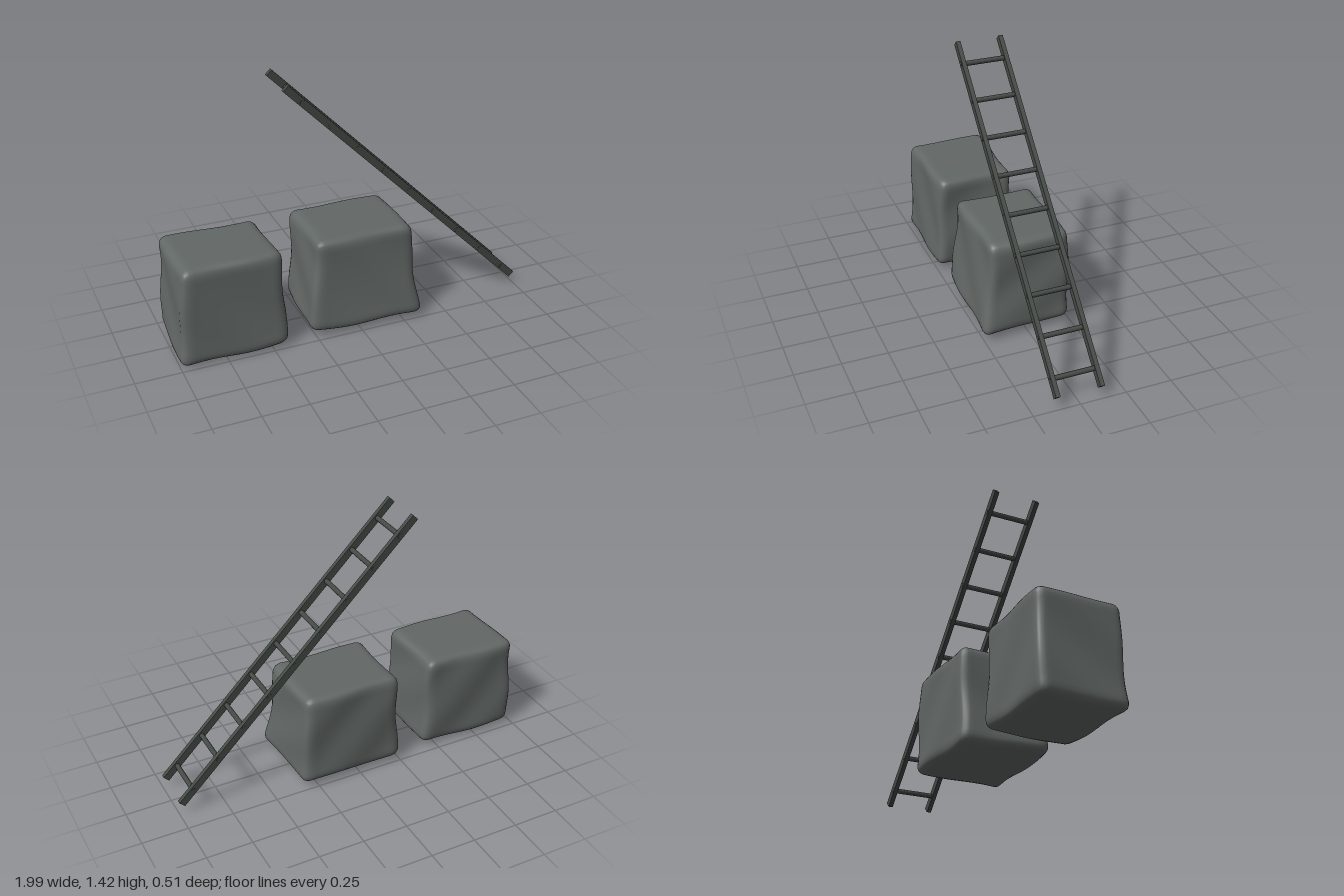
import * as THREE from 'three';
import { mergeVertices } from 'three/addons/utils/BufferGeometryUtils.js';

const stone = new THREE.MeshStandardMaterial({ color: 0x626866 });
stone.name = 'grey stone';
const iron = new THREE.MeshStandardMaterial({ color: 0x434945 });
iron.name = 'dark iron';

// Rounded cube warped to eight corners [x, y, z], in the order
// left-back, right-back, left-front, right-front.
function stoneBlock(name, bottom, top, seed) {
  let geo = new THREE.BoxGeometry(1, 1, 1, 24, 24, 24);
  geo.deleteAttribute('uv');
  geo.deleteAttribute('normal');
  geo = mergeVertices(geo, 1e-4);
  const pos = geo.attributes.position;
  const p = new THREE.Vector3(), inner = new THREE.Vector3();
  const r = 0.085, lim = 0.5 - r;
  const mix = THREE.MathUtils.lerp;
  const across = (c, k, u, v) => mix(mix(c[0][k], c[1][k], u), mix(c[2][k], c[3][k], u), v);
  for (let i = 0; i < pos.count; i++) {
    // round the edges
    p.fromBufferAttribute(pos, i);
    inner.copy(p).clampScalar(-lim, lim);
    p.sub(inner).normalize().multiplyScalar(r).add(inner);
    const u = p.x + 0.5, h = p.y + 0.5, v = p.z + 0.5;
    // flare the foot in a curve, then add soft dents
    const flare = Math.pow(1 - h, 1.8);
    const x = mix(across(top, 0, u, v), across(bottom, 0, u, v), flare);
    const y = mix(across(bottom, 1, u, v), across(top, 1, u, v), h);
    const z = mix(across(top, 2, u, v), across(bottom, 2, u, v), flare);
    const a = 0.005;
    pos.setXYZ(i,
      x + a * Math.sin(9 * h + 5 * v + seed),
      y + a * Math.sin(7 * u + 6 * v + seed) * (1 - h),
      z + a * Math.sin(8 * u + 7 * h + seed * 2));
  }
  geo.computeVertexNormals();
  const mesh = new THREE.Mesh(geo, stone);
  mesh.name = name;
  return mesh;
}

function ladder() {
  const group = new THREE.Group();
  group.name = 'ladder';
  const topEnd = new THREE.Vector2(-0.364, 1.405), foot = new THREE.Vector2(0.983, 0.062);
  const dir = foot.clone().sub(topEnd);
  const length = dir.length();
  group.position.set((topEnd.x + foot.x) / 2, (topEnd.y + foot.y) / 2, 0);
  group.rotation.z = dir.angle();

  // side rails
  for (const side of [-1, 1]) {
    const rail = new THREE.Mesh(new THREE.BoxGeometry(length, 0.04, 0.024), iron);
    rail.position.z = side * 0.119;
    rail.name = side > 0 ? 'frontRail' : 'backRail';
    group.add(rail);
  }
  // rungs, with ends just proud of the rails
  const rungGeo = new THREE.CylinderGeometry(0.0135, 0.0135, 0.265, 12).rotateX(Math.PI / 2);
  for (let i = 0; i < 9; i++) {
    const rung = new THREE.Mesh(rungGeo, iron);
    const y = 1.319 - i * 0.1487;
    rung.position.x = ((topEnd.y - y) / (topEnd.y - foot.y) - 0.5) * length;
    rung.name = 'rung' + (i + 1);
    group.add(rung);
  }
  return group;
}

export function createModel() {
  const model = new THREE.Group();
  model.name = 'stoneBlocksAndLadder';
  model.add(
    stoneBlock('leftBlock',
      [[-0.99, 0.012, -0.225], [-0.415, 0.025, -0.22], [-1.0, 0.0, 0.235], [-0.405, 0.015, 0.245]],
      [[-0.97, 0.555, -0.23], [-0.435, 0.55, -0.215], [-0.97, 0.553, 0.225], [-0.43, 0.555, 0.215]], 1),
    stoneBlock('rightBlock',
      [[-0.25, 0.03, -0.25], [0.34, 0.03, -0.25], [-0.295, 0.03, 0.23], [0.36, 0.022, 0.26]],
      [[-0.23, 0.55, -0.245], [0.315, 0.55, -0.245], [-0.235, 0.55, 0.2], [0.315, 0.55, 0.2]], 2.6),
    ladder());
  return model;
}
